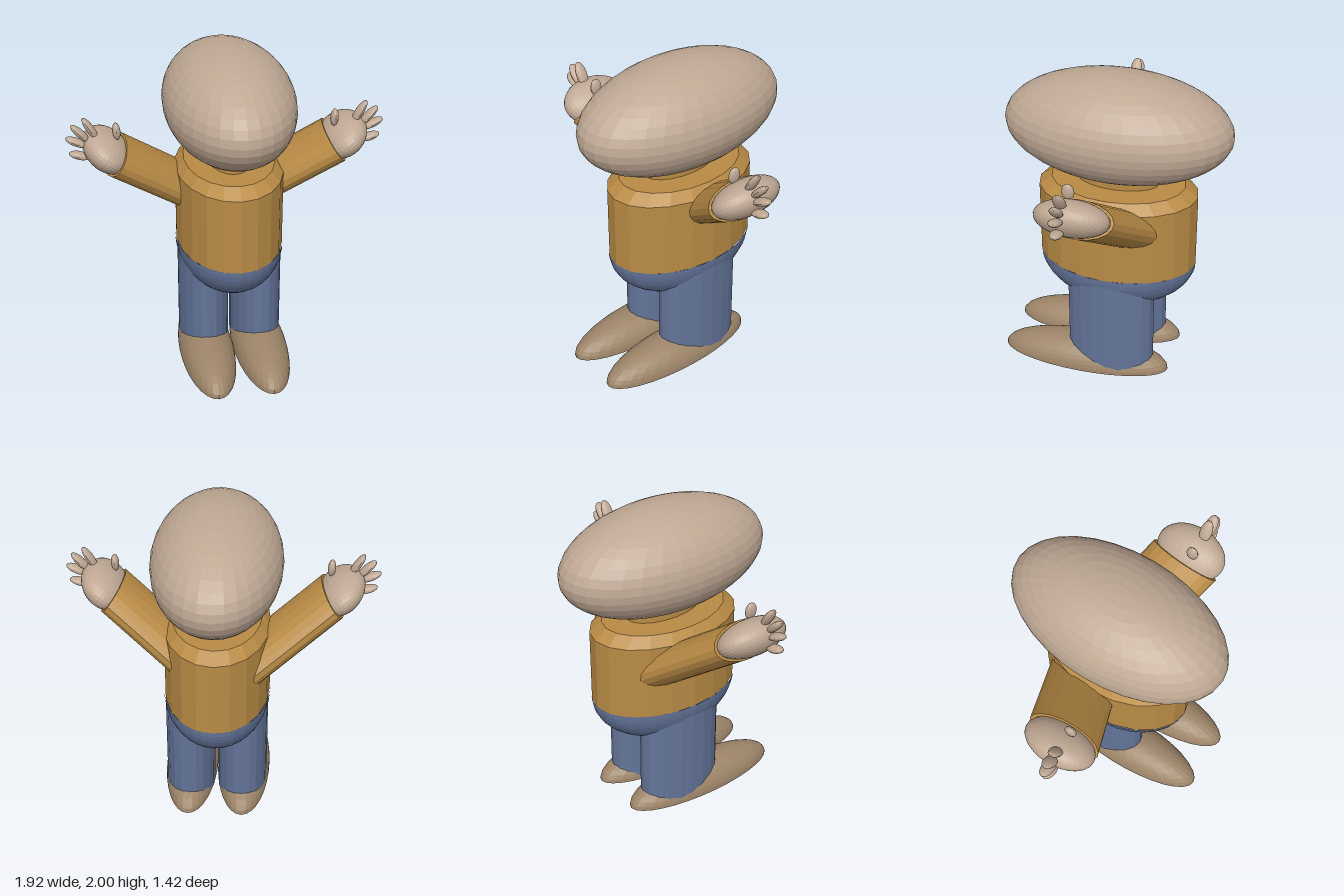
import * as THREE from 'three';

const material = (color) => new THREE.MeshStandardMaterial({ color, flatShading: true });
const CENTER = 0.03; // body axis, slightly off x = 0

export function createModel() {
  const model = new THREE.Group();
  const skin = material(0xbfa894);
  const shirt = material(0xb98b45);
  const trousers = material(0x637499);
  const shoe = material(0x9c8468);

  function add(parent, name, geometry, mat, position, scale = [1, 1, 1]) {
    const mesh = new THREE.Mesh(geometry, mat);
    mesh.name = name;
    mesh.position.set(...position);
    mesh.scale.set(...scale);
    parent.add(mesh);
    return mesh;
  }

  // Head: a ball stretched front to back
  add(model, 'head', new THREE.SphereGeometry(1, 32, 20), skin, [CENTER, 1.67, -0.01], [0.4, 0.33, 0.7]);

  // Neck and shirt, oval in plan
  add(model, 'neck', new THREE.CylinderGeometry(1, 1, 0.16, 20), shirt, [CENTER, 1.35, -0.01], [0.14, 1, 0.26]);
  const torsoProfile = [[0, 0.75], [1, 0.75], [1, 1.24], [0.84, 1.3], [0, 1.3]];
  add(model, 'torso', new THREE.LatheGeometry(torsoProfile.map((p) => new THREE.Vector2(...p)), 20),
    shirt, [CENTER, 0, -0.01], [0.332, 1, 0.5]);

  // Hips: lower half of a ball, closed inside the torso
  add(model, 'hips', new THREE.SphereGeometry(1, 32, 16, 0, Math.PI * 2, Math.PI / 2, Math.PI / 2),
    trousers, [CENTER, 0.755, -0.01], [0.337, 0.325, 0.5]);

  // Closed dome for the shoes
  const arc = [new THREE.Vector2(0, 0)];
  for (let i = 0; i <= 10; i++) {
    const a = (i / 10) * Math.PI / 2;
    arc.push(new THREE.Vector2(Math.cos(a), Math.sin(a)));
  }
  const dome = new THREE.LatheGeometry(arc, 32);

  for (const side of [-1, 1]) {
    const label = side > 0 ? 'left' : 'right';
    const x = 0.033 + side * 0.169;

    add(model, label + 'Leg', new THREE.CylinderGeometry(1, 1, 0.72, 20), trousers, [x, 0.36, -0.01], [0.159, 1, 0.28]);
    add(model, label + 'Shoe', dome, shoe, [0.033 + side * 0.173, 0.002, 0.16], [0.174, 0.163, 0.55]);

    // Arm: a round sleeve, then widened front to back by its group
    const arm = new THREE.Group();
    arm.name = label + 'Arm';
    arm.scale.z = 2;
    model.add(arm);
    const start = new THREE.Vector3(side * 0.15, 1.01, -0.07);
    const end = new THREE.Vector3(side * 0.67, 1.4, 0.03);
    const along = end.clone().sub(start);
    const sleeve = add(arm, label + 'Sleeve', new THREE.CylinderGeometry(0.115, 0.115, along.length(), 20),
      shirt, start.clone().lerp(end, 0.5).toArray());
    sleeve.quaternion.setFromUnitVectors(new THREE.Vector3(0, 1, 0), along.normalize());

    // Hand
    const hand = add(model, label + 'Hand', new THREE.SphereGeometry(1, 32, 20), skin,
      [side * 0.72, 1.437, 0.07], [0.11, 0.16, 0.225]);
    hand.rotation.z = -side * 0.93;

    // Thumb and fingers: base and tip of each
    const digits = [
      [0.655, 1.515, 0.663, 1.623],
      [0.77, 1.525, 0.855, 1.666],
      [0.82, 1.515, 0.924, 1.623],
      [0.83, 1.485, 0.96, 1.544],
      [0.82, 1.41, 0.944, 1.445],
    ];
    digits.forEach(([bx, by, tx, ty], i) => {
      const digit = add(model, label + (i ? 'Finger' + i : 'Thumb'), new THREE.SphereGeometry(1, 16, 12), skin,
        [side * (bx + tx) / 2, (by + ty) / 2, 0.108], [0.024, Math.hypot(tx - bx, ty - by) / 2, 0.038]);
      digit.rotation.z = -side * Math.atan2(tx - bx, ty - by);
    });
  }
  return model;
}
